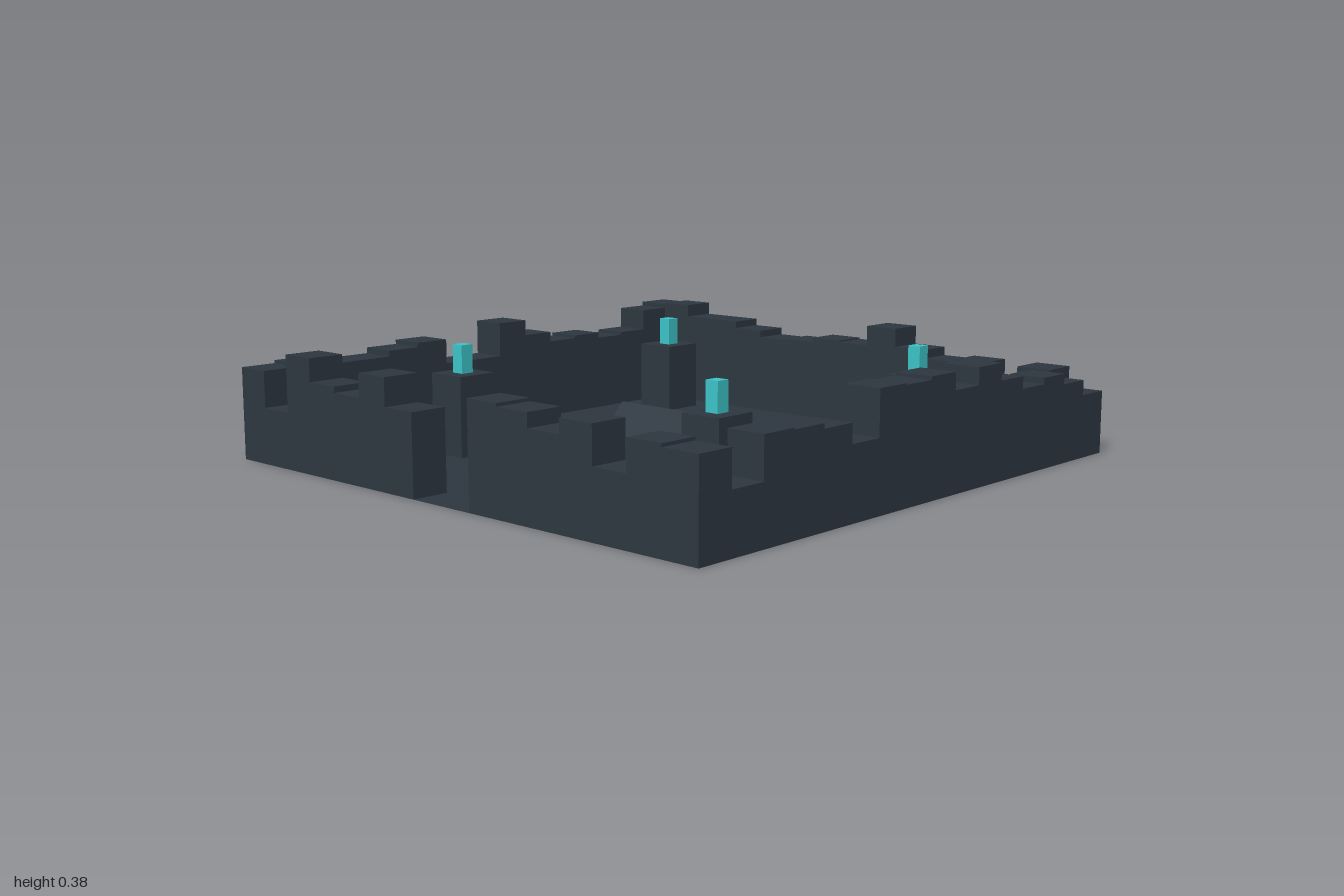
import * as THREE from 'three';

export function createModel() {
  const model = new THREE.Group();
  const stone = new THREE.MeshStandardMaterial({ color: 0x2d3640, side: THREE.DoubleSide });
  stone.name = 'dark slate';
  const glow = new THREE.MeshStandardMaterial({ color: 0x3cc2c6 });
  glow.name = 'turquoise';

  const U = 0.125; // one wall block

  function add(name, geometry, material, parent = model) {
    const mesh = new THREE.Mesh(geometry, material);
    mesh.name = name;
    parent.add(mesh);
    return mesh;
  }
  // Box standing on height y
  function block(name, w, h, d, x, y, z, material, parent) {
    add(name, new THREE.BoxGeometry(w, h, d), material, parent).position.set(x, y + h / 2, z);
  }

  // Thin floor with a rectangular opening
  const outline = new THREE.Shape([[-1, -1], [1, -1], [1, 1], [-1, 1]].map(p => new THREE.Vector2(...p)));
  outline.holes.push(new THREE.Path(
    [[-0.375, 0], [-0.375, 0.5], [0.375, 0.5], [0.375, 0]].map(p => new THREE.Vector2(...p))));
  add('floor', new THREE.ShapeGeometry(outline).rotateX(-Math.PI / 2), stone);

  // Ruined walls: block heights, front and back from -x to +x, sides from front to back
  const walls = {
    frontWall: [0.305, 0.185, 0.37, 0.295, 0.275, 0.35, 0.26, 0, 0, 0.33, 0.32, 0.275, 0.32, 0.205, 0.3, 0.29],
    backWall: [0.37, 0.375, 0.33, 0.33, 0.305, 0.28, 0.285, 0.3, 0.295, 0.365, 0.3, 0.27, 0.28, 0.2, 0.28, 0.21],
    leftWall: [0.18, 0.305, 0.3, 0.285, 0.225, 0.365, 0.36, 0.37, 0.315, 0.37, 0.315, 0.275, 0.295, 0.26],
    rightWall: [0.315, 0.3, 0.3, 0.32, 0.335, 0.25, 0.25, 0.37, 0.315, 0.28, 0.29, 0.27, 0.28, 0.355],
  };
  const edge = 1 - U / 2;
  for (const [name, heights] of Object.entries(walls)) {
    const wall = new THREE.Group();
    wall.name = name;
    model.add(wall);
    heights.forEach((h, i) => {
      if (!h) return; // entrance gap
      const along = -edge + i * U;
      const [x, z] = {
        frontWall: [along, edge],
        backWall: [along, -edge],
        leftWall: [edge, -along - U],
        rightWall: [-edge, -along - U],
      }[name];
      block('wallBlock', U, h, U, x, 0, z, stone, wall);
    });
  }

  // Four pillars, each topped by a small glowing crystal
  for (const x of [-0.5625, 0.5625]) {
    for (const z of [-0.5625, 0.4375]) {
      const pillar = new THREE.Group();
      pillar.name = 'pillar';
      pillar.position.set(x, 0, z);
      model.add(pillar);
      block('pillarShaft', 0.145, 0.27, 0.145, 0, 0, 0, stone, pillar);
      block('crystal', 0.046, 0.095, 0.046, 0, 0.27, 0, glow, pillar);
    }
  }

  // Hollow raised platform over the opening, open at the front and below
  const platform = new THREE.Group();
  platform.name = 'platform';
  model.add(platform);
  const H = 0.0625, D = 0.375, zMid = -0.3125;
  add('platformTop', new THREE.PlaneGeometry(0.75, D).rotateX(-Math.PI / 2), stone, platform)
    .position.set(0, H, zMid);
  add('platformBack', new THREE.PlaneGeometry(0.75, H).rotateY(Math.PI), stone, platform)
    .position.set(0, H / 2, -0.5);
  for (const s of [-1, 1]) {
    add('platformSide', new THREE.PlaneGeometry(D, H).rotateY(s * Math.PI / 2), stone, platform)
      .position.set(s * 0.375, H / 2, zMid);
  }

  // Sloping plate rising backward from the front edge of the opening
  add('slopingPlate', new THREE.PlaneGeometry(0.75, U * Math.SQRT2).rotateX(-Math.PI / 4), stone)
    .position.set(0, U / 2, -U / 2);

  return model;
}
